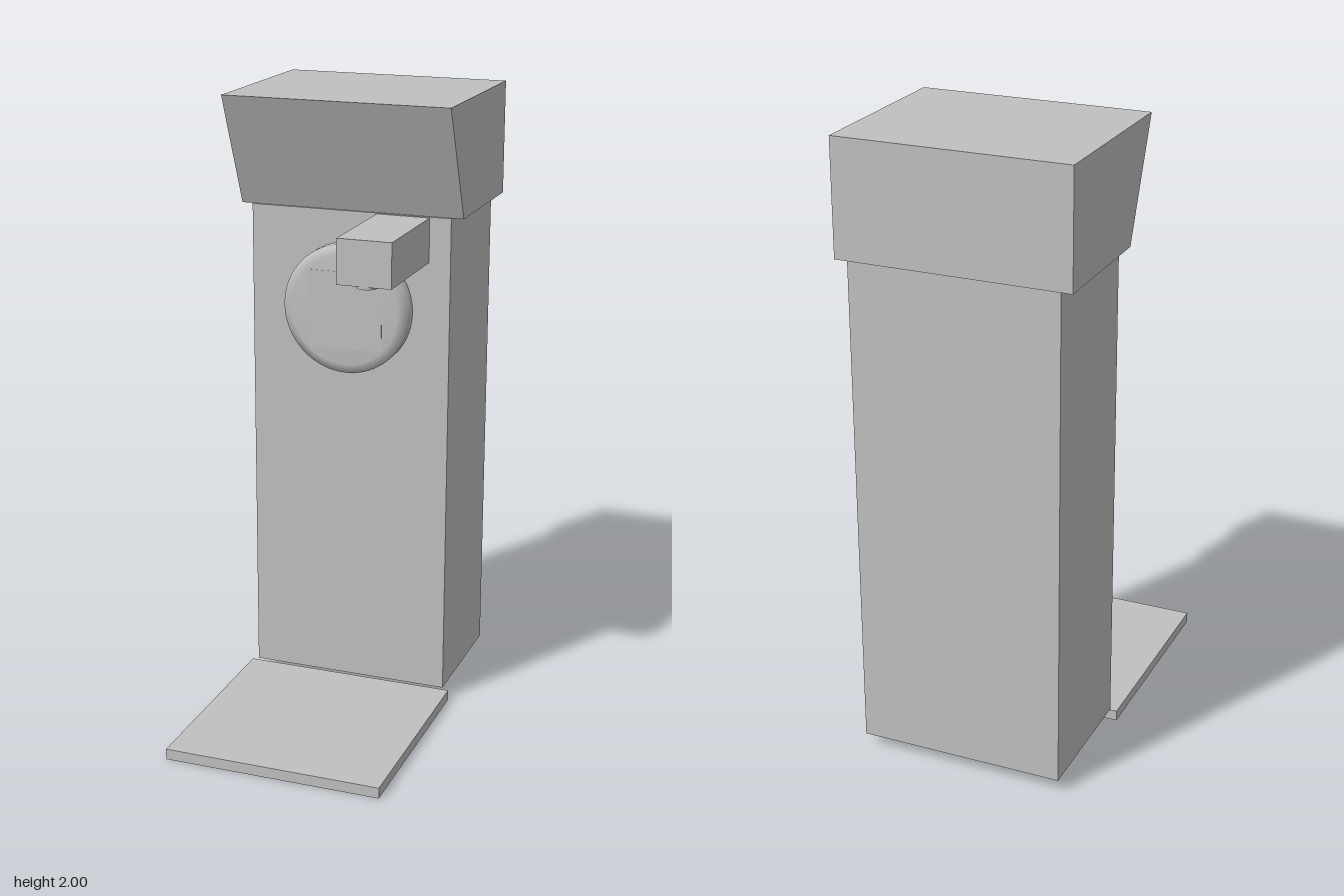
import * as THREE from 'three';

export function createModel() {
  const group = new THREE.Group();
  const grey = new THREE.MeshStandardMaterial({ color: 0xc0c0c0 });
  grey.name = 'light grey';

  const add = (name, geometry, x = 0, y = 0, z = 0) => {
    const mesh = new THREE.Mesh(geometry, grey);
    mesh.name = name;
    mesh.position.set(x, y, z);
    group.add(mesh);
    return mesh;
  };
  // box given by its limits on each axis
  const box = (name, [x0, x1], [y0, y1], [z0, z1]) =>
    add(name, new THREE.BoxGeometry(x1 - x0, y1 - y0, z1 - z0),
      (x0 + x1) / 2, (y0 + y1) / 2, (z0 + z1) / 2);

  // floor plate and upright column
  box('footPlate', [-0.353, 0.353], [0, 0.035], [-0.125, 0.577]);
  box('column', [-0.332, 0.332], [0.04, 1.635], [-0.57, -0.128]);

  // head with a front that leans outwards, extruded across x
  const side = new THREE.Shape([[0.577, 1.635], [0.577, 2], [-0.02, 2], [0.135, 1.635]]
    .map(([z, y]) => new THREE.Vector2(z, y)));
  const head = new THREE.ExtrudeGeometry(side, { depth: 0.74, bevelEnabled: false });
  head.translate(0, 0, -0.37).rotateY(Math.PI / 2);
  add('head', head);

  // dispensing arm and its nozzle
  box('arm', [0.088, 0.262], [1.49, 1.632], [-0.13, 0.234]);
  add('nozzle', new THREE.CylinderGeometry(0.033, 0.033, 0.02, 32), 0.174, 1.491, 0.2);

  // round push button with a softened rim and a square face plate
  const profile = [[0.21, 0], [0.21, 0.037], [0.178, 0.054], [0, 0.054]]
    .map(([r, h]) => new THREE.Vector2(r, h));
  const button = new THREE.LatheGeometry(profile, 64);
  button.rotateX(Math.PI / 2);
  add('button', button, 0, 1.325, -0.128);
  box('buttonPlate', [-0.125, 0.125], [1.2, 1.45], [-0.08, -0.073]);

  return group;
}
